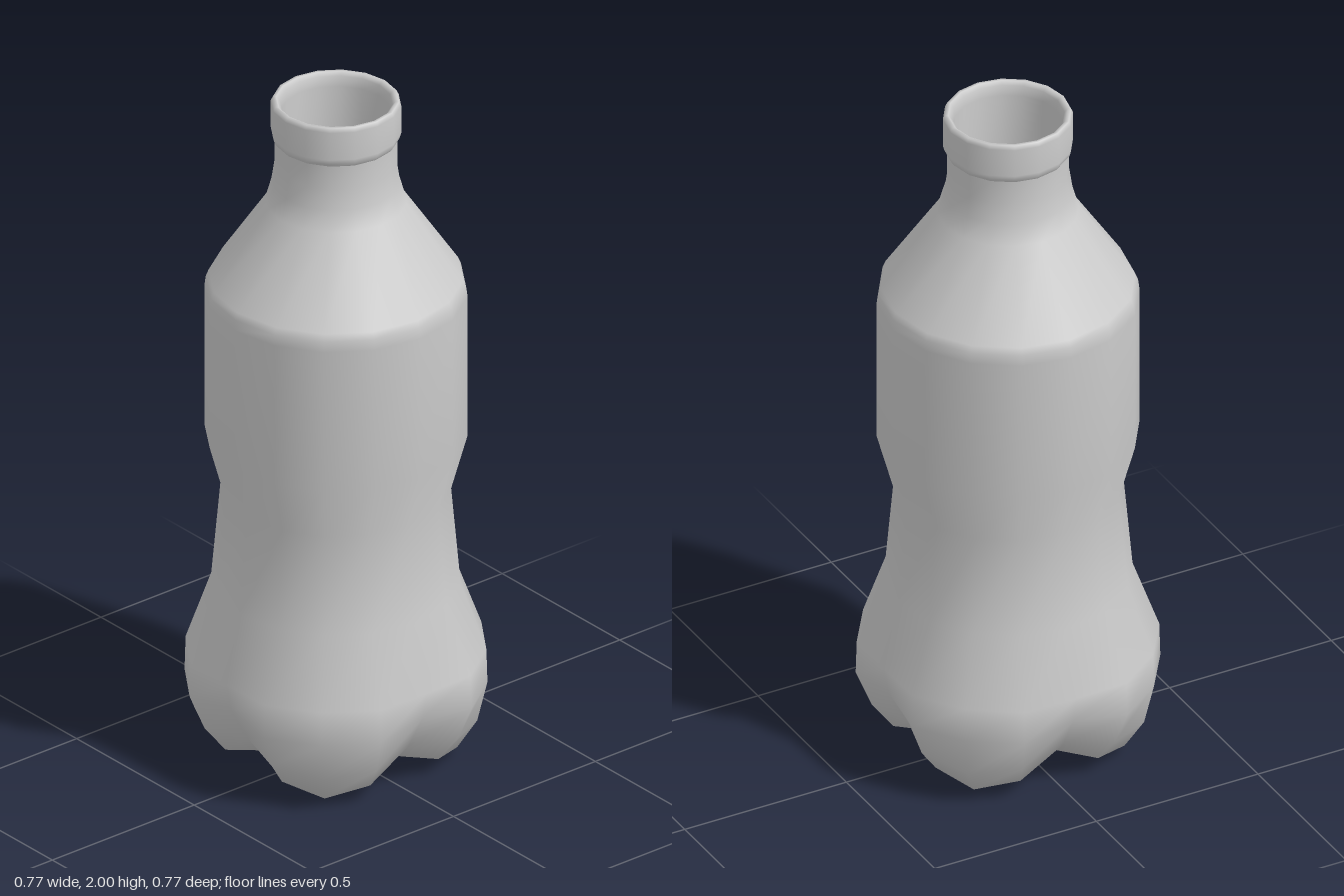
import * as THREE from 'three';

const SIDES = 16;

// Each ring is [radius, y] for a round section, or three such pairs:
// at the valley (0 deg), the flank (22.5 deg) and the lobe (45 deg).
function skin(rings, tipY) {
  const pos = [], index = [];
  for (const ring of rings) {
    for (let i = 0; i < SIDES; i++) {
      const a = (i / SIDES) * Math.PI * 2;
      const k = i % 4;
      const [r, y] = Array.isArray(ring[0]) ? ring[k === 3 ? 1 : k] : ring;
      pos.push(r * Math.cos(a), y, r * Math.sin(a));
    }
  }
  for (let j = 0; j < rings.length - 1; j++) {
    for (let i = 0; i < SIDES; i++) {
      const n = (i + 1) % SIDES;
      const a = j * SIDES + i, b = j * SIDES + n;
      const c = a + SIDES, d = b + SIDES;
      index.push(a, b, d, a, d, c);
    }
  }
  // close the underside with a fan
  if (tipY !== undefined) {
    const last = (rings.length - 1) * SIDES, tip = pos.length / 3;
    pos.push(0, tipY, 0);
    for (let i = 0; i < SIDES; i++) index.push(last + i, last + ((i + 1) % SIDES), tip);
  }
  const g = new THREE.BufferGeometry();
  g.setAttribute('position', new THREE.Float32BufferAttribute(pos, 3));
  g.setIndex(index);
  g.computeVertexNormals();
  return g;
}

export function createModel() {
  const group = new THREE.Group();
  group.name = 'bottle';
  const material = new THREE.MeshStandardMaterial({ color: 0xcccccc, side: THREE.DoubleSide });
  const add = (name, geometry) => {
    const mesh = new THREE.Mesh(geometry, material);
    mesh.name = name;
    group.add(mesh);
  };

  // rolled mouth: inner wall, rim and collar
  add('mouth', skin([
    [0.15, 1.75], [0.15, 1.96], [0.154, 1.99], [0.163, 2.0],
    [0.172, 2.0], [0.178, 1.988], [0.178, 1.905], [0.174, 1.89], [0.167, 1.88],
  ]));

  // neck, shoulder, waist and four-lobed foot
  add('body', skin([
    [0.167, 1.88], [0.167, 1.81], [0.176, 1.75], [0.193, 1.69],
    [0.347, 1.46], [0.355, 1.44], [0.359, 1.41], [0.359, 0.985],
    [0.314, 0.82], [0.34, 0.53],
    [[0.385, 0.33], [0.413, 0.33], [0.41, 0.33]],
    [[0.37, 0.25], [0.416, 0.23], [0.413, 0.23]],
    [[0.31, 0.14], [0.373, 0.125], [0.385, 0.11]],
    [[0.2, 0.07], [0.314, 0.05], [0.33, 0.025]],
    [[0.13, 0.065], [0.2, 0.03], [0.25, 0]],
    [[0.07, 0.065], [0.1, 0.048], [0.12, 0.035]],
  ], 0.065));

  return group;
}
